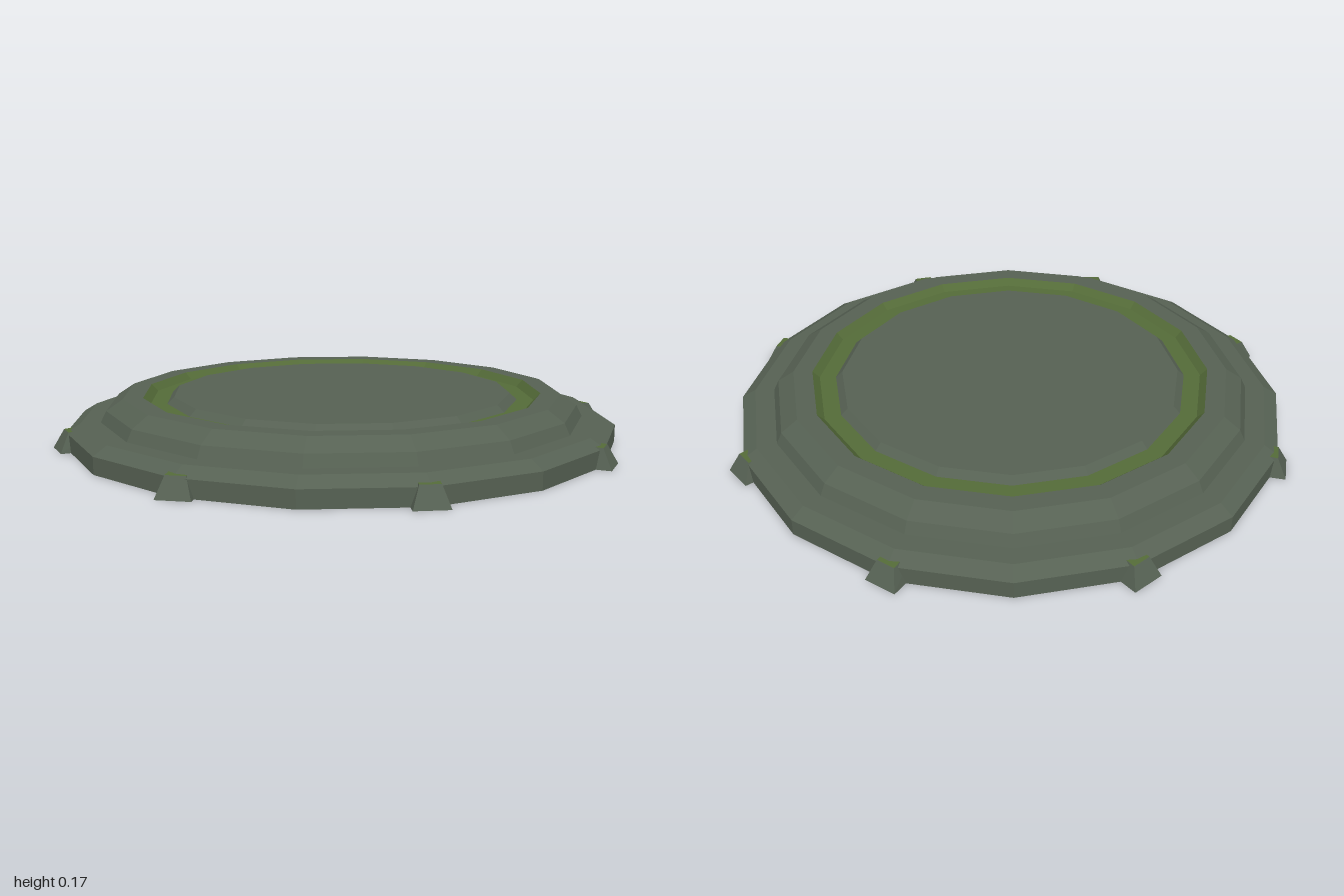
import * as THREE from 'three';

const SIDES = 16;

export function createModel() {
  const grey = new THREE.MeshStandardMaterial({ color: 0x566153 });
  grey.name = 'greyGreen';
  const green = new THREE.MeshStandardMaterial({ color: 0x546b38 });
  green.name = 'mossGreen';

  const model = new THREE.Group();
  model.name = 'roundPlatform';

  // Faceted geometry: unshared corners give flat normals
  const facet = (geometry) => {
    const g = geometry.toNonIndexed();
    g.computeVertexNormals();
    return g;
  };

  const addRing = (name, profile, material, parent = model) => {
    const points = profile.map(([r, y]) => new THREE.Vector2(r, y));
    const mesh = new THREE.Mesh(facet(new THREE.LatheGeometry(points, SIDES)), material);
    mesh.name = name;
    parent.add(mesh);
  };

  // Base plate with closed underside, bevelled step and raised rim
  addRing('baseAndRim', [
    [0, 0], [1, 0], [1, 0.06], [0.95, 0.09], [0.88, 0.09],
    [0.86, 0.13], [0.8, 0.17], [0.73, 0.17],
  ], grey);

  // Groove between rim and centre
  addRing('groove', [[0.73, 0.17], [0.705, 0.145], [0.645, 0.145]], green);

  // Centre disc with sloped edge
  addRing('centreDisc', [[0.645, 0.145], [0.62, 0.168], [0, 0.168]], grey);

  // Tapered lug: its outer side is local +z
  const lugGeometry = () => {
    const g = new THREE.BoxGeometry(0.115, 0.075, 0.13);
    g.translate(0, 0.0375, 0);
    const p = g.attributes.position;
    for (let i = 0; i < p.count; i++) {
      if (p.getY(i) < 0.01) continue;
      p.setX(i, p.getX(i) * 0.58);
      if (p.getZ(i) > 0) p.setXYZ(i, p.getX(i), 0.068, 0.03);
    }
    return g;
  };
  const lugShape = lugGeometry();
  const lugFlat = facet(lugShape);
  lugShape.groups.forEach((s) => lugFlat.addGroup(s.start, s.count, s.materialIndex));

  // Eight lugs around the edge, each turned a little differently
  const turns = [0.35, -0.15, 0.1, 0.3, -0.2, 0.3, 0.15, 0.2];
  turns.forEach((turn, i) => {
    const angle = Math.PI / 8 + (i * Math.PI) / 4;
    const lug = new THREE.Mesh(lugFlat, [grey, grey, green, grey, grey, grey]);
    lug.name = `edgeLug${i + 1}`;
    lug.position.set(Math.sin(angle) * 0.97, 0, Math.cos(angle) * 0.97);
    lug.rotation.y = angle + turn;
    model.add(lug);
  });

  return model;
}
